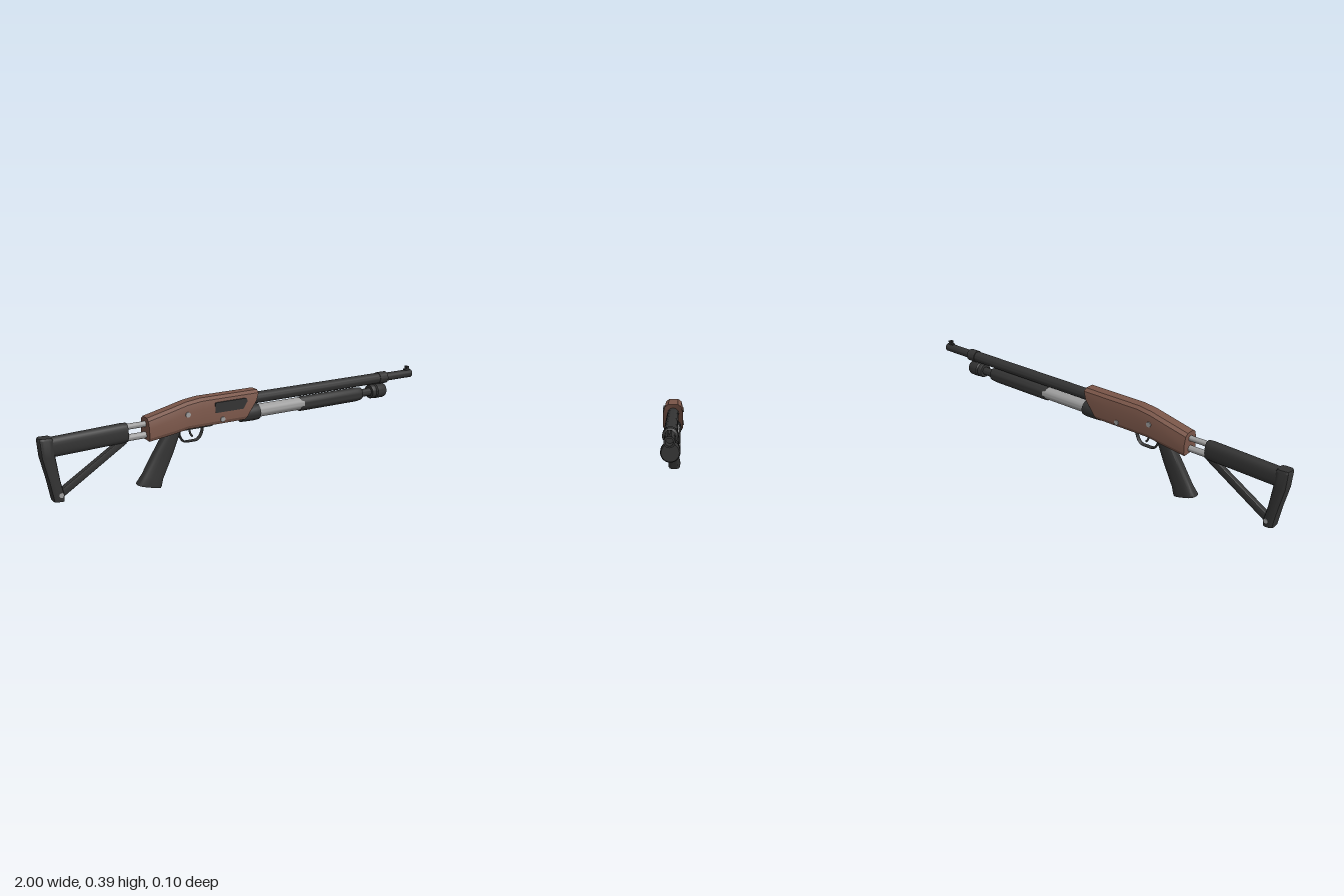
import * as THREE from 'three';
import { toCreasedNormals } from 'three/addons/utils/BufferGeometryUtils.js';

const mat = (name, color) => {
  const m = new THREE.MeshStandardMaterial({ color });
  m.name = name;
  return m;
};

// Superellipse ring about (cx, cy): u = (ux, uy) in the side plane, w = half width in z
function ring(cx, cy, ux, uy, w, p = 4, n = 24) {
  const pts = [];
  for (let i = 0; i < n; i++) {
    const a = (i / n) * Math.PI * 2, c = Math.cos(a), s = Math.sin(a);
    const k = 1 / Math.pow(Math.abs(c) ** p + Math.abs(s) ** p, 1 / p);
    pts.push([cx + ux * c * k, cy + uy * c * k, w * s * k]);
  }
  return pts;
}

// Skin through cross-sections with closed ends
function loft(rings, crease = 0.5) {
  const pos = [], n = rings[0].length, last = rings.length - 1;
  const tri = (a, b, c) => pos.push(...a, ...b, ...c);
  for (let i = 0; i < last; i++) {
    for (let j = 0; j < n; j++) {
      const k = (j + 1) % n, r = rings[i], q = rings[i + 1];
      tri(r[j], r[k], q[k]);
      tri(r[j], q[k], q[j]);
    }
  }
  const mid = (r) => [0, 1, 2].map((d) => r.reduce((s, p) => s + p[d], 0) / n);
  const m0 = mid(rings[0]), m1 = mid(rings[last]);
  for (let j = 0; j < n; j++) {
    const k = (j + 1) % n;
    tri(m0, rings[0][k], rings[0][j]);
    tri(m1, rings[last][j], rings[last][k]);
  }
  const g = new THREE.BufferGeometry();
  g.setAttribute('position', new THREE.Float32BufferAttribute(pos, 3));
  g.computeVertexNormals();
  return toCreasedNormals(g, crease);
}

// Turned part along x; profile entries are [radius, x]
function turned(profile, y, n = 28) {
  const g = new THREE.LatheGeometry(profile.map(([r, x]) => new THREE.Vector2(r, x)), n);
  g.rotateZ(-Math.PI / 2);
  g.translate(0, y, 0);
  return toCreasedNormals(g, 0.5);
}

export function createModel() {
  const model = new THREE.Group();
  const brown = mat('brown', 0x795548);
  const black = mat('black', 0x333333);
  const steel = mat('steel', 0x9e9e9e);
  const add = (name, geometry, material) => {
    const m = new THREE.Mesh(geometry, material);
    m.name = name;
    model.add(m);
    return m;
  };
  const box = (name, w, h, d, x, y, z = 0) =>
    add(name, new THREE.BoxGeometry(w, h, d).translate(x, y, z), black);

  // Receiver: chamfered section, sloped towards the rear, raked front face
  const section = (x, bottom, top, rake = false) => {
    const half = [[0.022, top], [0.038, top - 0.012], [0.047, top - 0.045],
      [0.047, bottom + 0.015], [0.041, bottom]];
    const at = ([z, y]) => [rake ? Math.min(0.04, x + (y - bottom) * 0.7) : x, y, z];
    return [...half.map(at), ...half.slice().reverse().map(([z, y]) => at([-z, y]))];
  };
  add('receiver', loft([
    section(-0.52, 0.235, 0.337), section(-0.4, 0.25, 0.365), section(-0.33, 0.262, 0.382),
    section(-0.26, 0.262, 0.391), section(-0.1, 0.262, 0.391), section(-0.035, 0.262, 0.391, true),
  ], 0.3), brown);

  // Ejection port on the front side
  const port = new THREE.Shape();
  const [x0, x1, y0, y1, r] = [-0.195, -0.028, 0.317, 0.365, 0.01];
  port.moveTo(x0 + r, y0).lineTo(x1 - 0.02, y0).lineTo(x1, y0 + 0.03).lineTo(x1, y1 - r);
  port.quadraticCurveTo(x1, y1, x1 - r, y1).lineTo(x0 + r, y1);
  port.quadraticCurveTo(x0, y1, x0, y1 - r).lineTo(x0, y0 + r);
  port.quadraticCurveTo(x0, y0, x0 + r, y0);
  add('ejectionPort', new THREE.ExtrudeGeometry(port, { depth: 0.007, bevelEnabled: false })
    .translate(0, 0, 0.0415), black);

  // Cross pins in receiver and stock
  for (const [x, y, rad, len] of [[-0.333, 0.33, 0.012, 0.102], [-0.157, 0.283, 0.012, 0.102],
    [-0.922, 0.065, 0.011, 0.064]]) {
    add('crossPin', new THREE.CylinderGeometry(rad, rad, len, 16).rotateX(Math.PI / 2)
      .translate(x, y, 0), steel);
  }

  // Barrel with collar, slim muzzle and bore
  add('barrel', turned([[0, -0.03], [0.027, -0.03], [0.027, 0.78], [0.03, 0.78], [0.03, 0.83],
    [0.021, 0.835], [0.021, 1], [0.014, 1], [0.014, 0.93], [0, 0.93]], 0.346), black);
  box('frontSightBase', 0.03, 0.01, 0.016, 0.975, 0.367);
  for (const s of [-1, 1]) box('frontSightBlade', 0.016, 0.022, 0.006, 0.979, 0.375, s * 0.006);

  // Magazine tube, pump grip and end cap
  add('tubeCollar', turned([[0, -0.04], [0.038, -0.04], [0.04, 0.03], [0.038, 0.055], [0, 0.055]], 0.278), black);
  add('magazineTube', turned([[0, 0.04], [0.031, 0.04], [0.031, 0.31], [0, 0.31]], 0.281), steel);
  const pump = turned([[0, 0.293], [0.035, 0.293], [0.036, 0.3], [0.036, 0.64], [0.032, 0.67], [0, 0.67]], 0);
  const pumpMesh = add('pumpGrip', pump.scale(1, 1, 0.85).translate(0, 0.279, 0), black);
  pumpMesh.geometry.computeBoundingSphere();
  add('magazineExtension', turned([[0, 0.65], [0.02, 0.65], [0.02, 0.74], [0, 0.74]], 0.28), black);
  add('magazineCap', turned([[0, 0.73], [0.033, 0.73], [0.036, 0.736], [0.036, 0.752], [0.032, 0.756],
    [0.038, 0.762], [0.038, 0.808], [0.034, 0.818], [0, 0.818]], 0.281), black);

  // Trigger guard and trigger
  const guardPath = new THREE.CatmullRomCurve3([[-0.358, 0.265], [-0.355, 0.225], [-0.335, 0.195],
    [-0.3, 0.191], [-0.265, 0.194], [-0.245, 0.218], [-0.235, 0.265]].map(([x, y]) => new THREE.Vector3(x, y, 0)));
  add('triggerGuard', new THREE.TubeGeometry(guardPath, 32, 0.005, 8).scale(1, 1, 2.2), black);
  box('guardPlate', 0.17, 0.014, 0.05, -0.285, 0.259);
  const triggerPath = new THREE.QuadraticBezierCurve3(new THREE.Vector3(-0.3, 0.26, 0),
    new THREE.Vector3(-0.31, 0.23, 0), new THREE.Vector3(-0.29, 0.212, 0));
  add('trigger', new THREE.TubeGeometry(triggerPath, 10, 0.005, 8), black);

  // Pistol grip with flared foot, lofted from top to bottom
  const gripRing = (bx, by, fx, fy, w) =>
    ring((bx + fx) / 2, (by + fy) / 2, (fx - bx) / 2, (fy - by) / 2, w, 3.2);
  add('pistolGrip', loft([
    gripRing(-0.43, 0.265, -0.345, 0.27, 0.022), gripRing(-0.44, 0.235, -0.365, 0.222, 0.025),
    gripRing(-0.485, 0.165, -0.395, 0.148, 0.026), gripRing(-0.543, 0.07, -0.447, 0.038, 0.027),
    gripRing(-0.566, 0.04, -0.455, 0.01, 0.032), gripRing(-0.57, 0.032, -0.459, 0.001, 0.031),
  ]), black);

  // Stock rods
  for (const [y, rad] of [[0.306, 0.013], [0.256, 0.015]]) {
    add('stockRod', turned([[0, -0.66], [rad, -0.66], [rad, -0.5], [0, -0.5]], y, 16), steel);
  }

  // Skeleton stock: comb, butt plate and diagonal strut
  add('stockComb', loft([
    ring(-0.965, 0.272, 0, 0.043, 0.026, 2.8), ring(-0.63, 0.282, 0, 0.044, 0.027, 2.8),
    ring(-0.608, 0.282, 0, 0.042, 0.025, 2.8),
  ]), black);
  add('buttPlate', loft([
    ring(-0.969, 0.318, 0.027, -0.001, 0.024), ring(-0.967, 0.308, 0.032, -0.002, 0.029),
    ring(-0.963, 0.235, 0.031, -0.002, 0.029), ring(-0.945, 0.13, 0.026, -0.002, 0.03),
    ring(-0.932, 0.06, 0.027, -0.002, 0.031), ring(-0.931, 0.036, 0.024, -0.002, 0.029),
  ]), black);
  add('stockStrut', loft([
    ring(-0.925, 0.058, -0.009, 0.016, 0.015), ring(-0.62, 0.25, -0.009, 0.015, 0.014),
  ]), black);

  return model;
}
